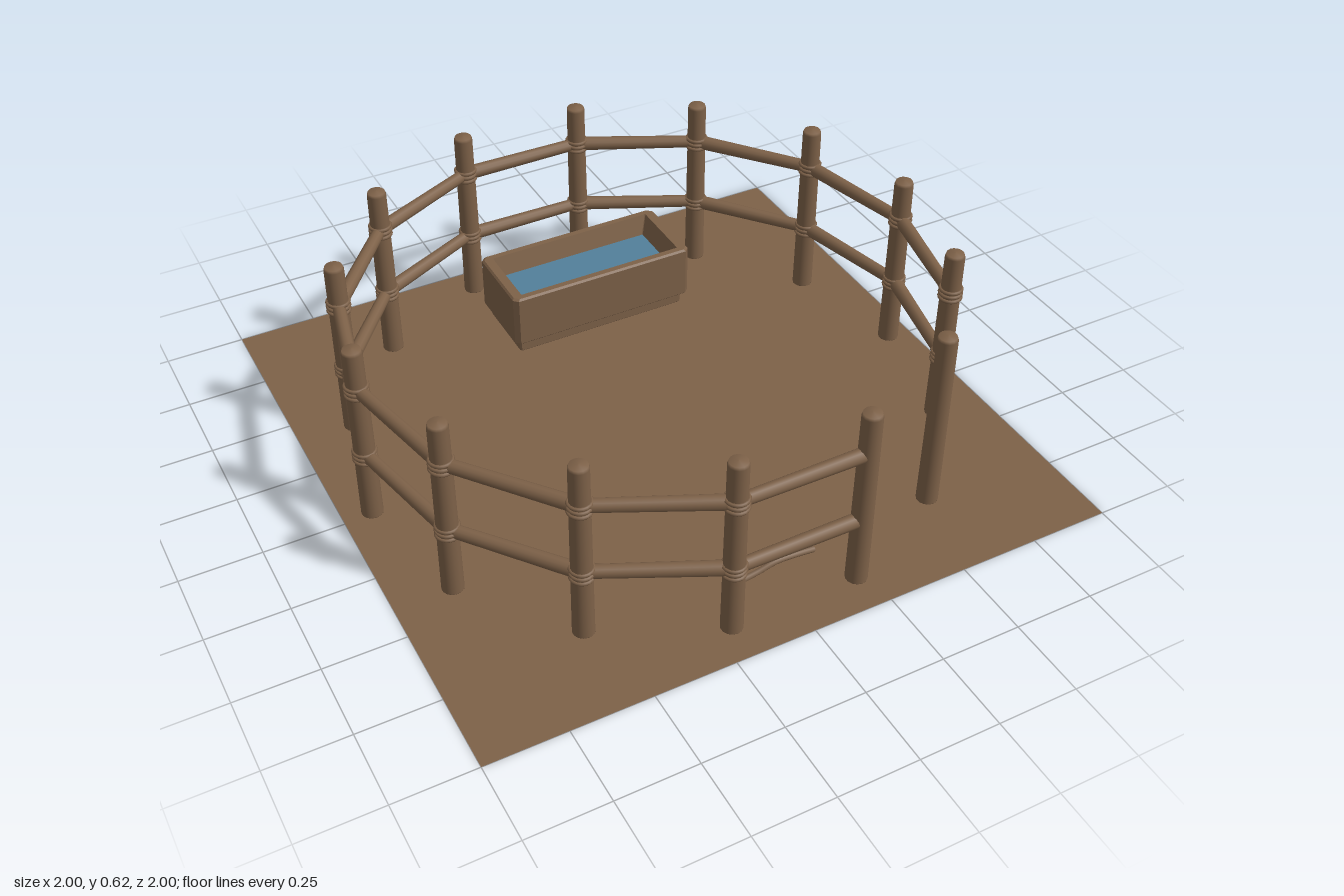
import * as THREE from 'three';

const wood = new THREE.MeshStandardMaterial({ color: 0x7d6148 });
wood.name = 'brown wood';
const soil = new THREE.MeshStandardMaterial({ color: 0x7d6148, side: THREE.DoubleSide });
soil.name = 'brown soil';
const blue = new THREE.MeshStandardMaterial({ color: 0x52809a });
blue.name = 'water blue';

const POSTS = 14, RADIUS = 0.913;
const RAIL_HEIGHTS = [0.24, 0.48];

function add(parent, name, geometry, material) {
  const mesh = new THREE.Mesh(geometry, material);
  mesh.name = name;
  parent.add(mesh);
  return mesh;
}

// Point on the fence circle
function postAt(k, y = 0) {
  const a = (k / POSTS) * Math.PI * 2;
  return new THREE.Vector3(Math.cos(a) * RADIUS, y, Math.sin(a) * RADIUS);
}

// Lofts chamfered rectangles [halfX, halfZ, y, chamfer] from bottom to top
function rectLoft(profile) {
  const pos = [], index = [];
  for (const [x, z, y, c] of profile) {
    const loop = [[x, -z + c], [x, z - c], [x - c, z], [-x + c, z],
      [-x, z - c], [-x, -z + c], [-x + c, -z], [x - c, -z]];
    for (const [px, pz] of loop) pos.push(px, y, pz);
  }
  for (let j = 0; j < profile.length - 1; j++) {
    for (let i = 0; i < 8; i++) {
      const a = j * 8 + i, b = j * 8 + (i + 1) % 8;
      index.push(a, a + 8, b, b, a + 8, b + 8);
    }
  }
  const g = new THREE.BufferGeometry();
  g.setAttribute('position', new THREE.Float32BufferAttribute(pos, 3));
  g.setIndex(index);
  const flat = g.toNonIndexed();
  flat.computeVertexNormals();
  return flat;
}

export function createModel() {
  const model = new THREE.Group();
  model.name = 'corral';

  // Ground sheet
  add(model, 'ground', new THREE.PlaneGeometry(2, 2).rotateX(-Math.PI / 2), soil);

  // Fence posts with softly rounded tops
  const fence = new THREE.Group();
  fence.name = 'fence';
  model.add(fence);
  const postGeo = new THREE.LatheGeometry([
    [0, 0.015], [0.033, 0.015], [0.033, 0.016], [0.032, 0.2], [0.03, 0.612], [0.027, 0.621], [0, 0.624],
  ].map(([r, y]) => new THREE.Vector2(r, y)), 14);
  for (let k = 0; k < POSTS; k++) add(fence, 'post', postGeo, wood).position.copy(postAt(k));

  // Rails, leaving the gateway open
  const up = new THREE.Vector3(0, 1, 0);
  const railLength = postAt(0).distanceTo(postAt(1));
  const railGeo = new THREE.CylinderGeometry(0.02, 0.023, railLength, 12);
  for (let k = 3; k <= POSTS; k++) {
    for (const y of RAIL_HEIGHTS) {
      const a = postAt(k, y), b = postAt(k + 1, y);
      const rail = add(fence, 'rail', railGeo, wood);
      rail.position.copy(a).add(b).multiplyScalar(0.5);
      rail.quaternion.setFromUnitVectors(up, b.sub(a).normalize());
    }
  }

  // Rope lashings where rails meet posts
  const ropeGeo = new THREE.TorusGeometry(0.032, 0.006, 6, 18).rotateX(Math.PI / 2);
  for (let k = 4; k <= POSTS + 1; k++) {
    for (const y of RAIL_HEIGHTS) {
      for (const dy of [-0.015, 0, 0.015]) {
        add(fence, 'lashing', ropeGeo, wood).position.copy(postAt(k, y + dy));
      }
    }
  }

  // Loose rope end beneath the front rail
  const ropePath = new THREE.CatmullRomCurve3([
    [-0.19, 0.178], [-0.13, 0.188], [-0.07, 0.202], [-0.01, 0.2], [0.05, 0.193],
  ].map(([x, y]) => new THREE.Vector3(x, y, 0.89)));
  add(model, 'looseRope', new THREE.TubeGeometry(ropePath, 20, 0.009, 6), wood);

  // Water trough
  const trough = new THREE.Group();
  trough.name = 'trough';
  trough.position.set(0.0725, 0, -0.5675);
  model.add(trough);
  add(trough, 'troughBase', rectLoft([
    [0, 0, 0.045, 0], [0.292, 0.112, 0.045, 0.005], [0.297, 0.117, 0.05, 0.005], [0.297, 0.117, 0.092, 0.005],
  ]), wood);
  add(trough, 'troughBasin', rectLoft([
    [0, 0, 0.09, 0], [0.312, 0.132, 0.09, 0.015], [0.318, 0.138, 0.096, 0.015],
    [0.318, 0.138, 0.264, 0.015], [0.312, 0.132, 0.27, 0.015],
    [0.283, 0.113, 0.27, 0.002], [0.26, 0.091, 0.2, 0.002],
  ]), wood);
  add(trough, 'water', new THREE.PlaneGeometry(0.526, 0.188).rotateX(-Math.PI / 2), blue).position.y = 0.205;

  return model;
}
